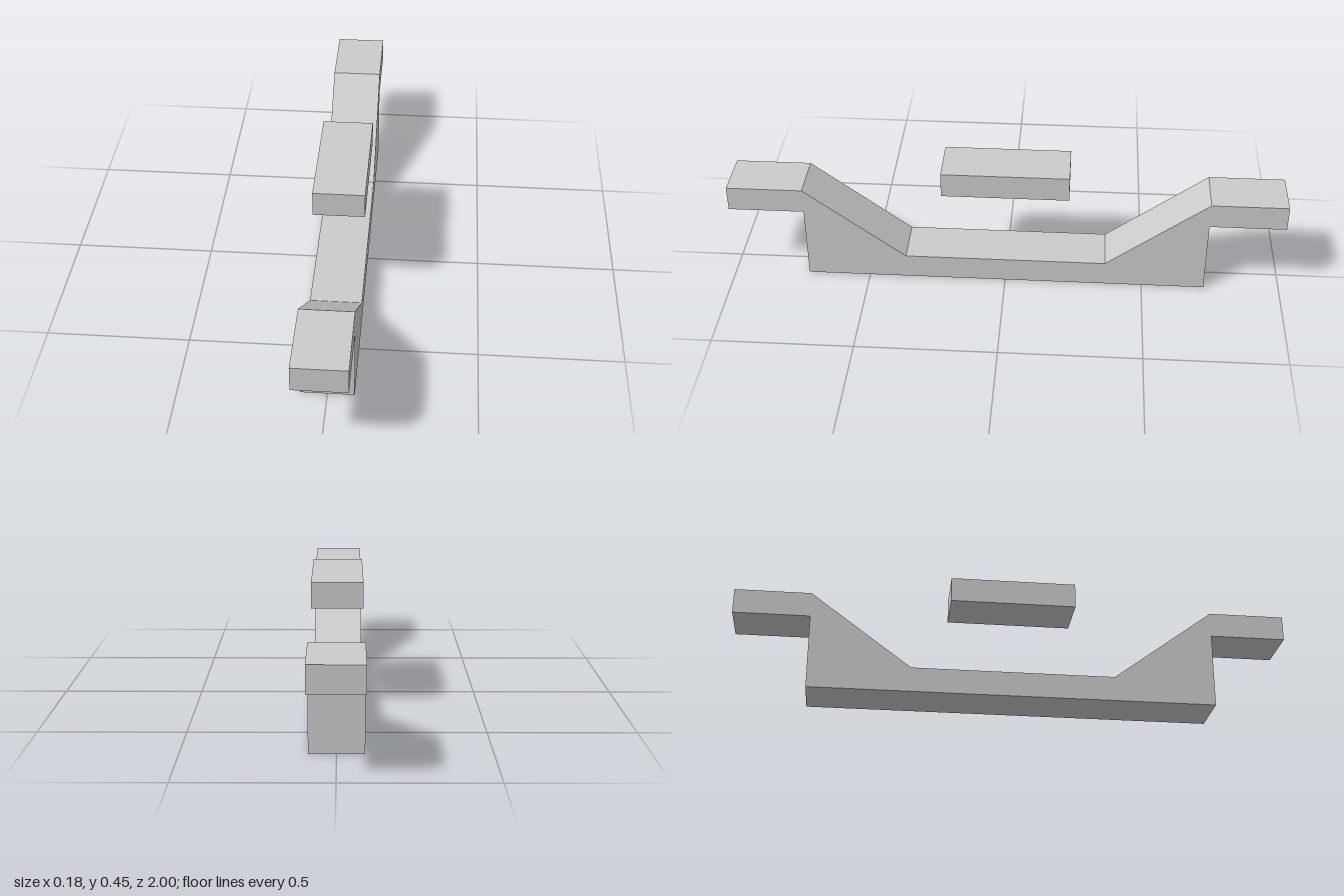
import * as THREE from 'three';

const U = 1 / 11;         // one grid block
const WIDTH = 2 * U;

export function createModel() {
  const group = new THREE.Group();
  const grey = new THREE.MeshStandardMaterial({ color: 0xcccccc });
  grey.name = 'plain grey';

  // Half of the side profile as [z, y] in blocks, from the bottom up and over the ramp
  const half = [[8, 0], [8, 3], [11, 3], [11, 4], [8, 4], [4, 1]];
  const mirrored = half.map(([z, y]) => [-z, y]).reverse();
  const outline = [...half, ...mirrored].map(([z, y]) => new THREE.Vector2(z * U, y * U));

  // Valley floor with a ramp and an overhanging ledge at each end
  const valleyGeometry = new THREE.ExtrudeGeometry(new THREE.Shape(outline), {
    depth: WIDTH, bevelEnabled: false,
  });
  valleyGeometry.translate(0, 0, -WIDTH / 2);
  valleyGeometry.rotateY(-Math.PI / 2);
  const valley = new THREE.Mesh(valleyGeometry, grey);
  valley.name = 'rampedValley';
  group.add(valley);

  // Floating platform above the valley
  const platform = new THREE.Mesh(new THREE.BoxGeometry(WIDTH, U, 5 * U), grey);
  platform.name = 'floatingPlatform';
  platform.position.y = 4.5 * U;
  group.add(platform);

  return group;
}
